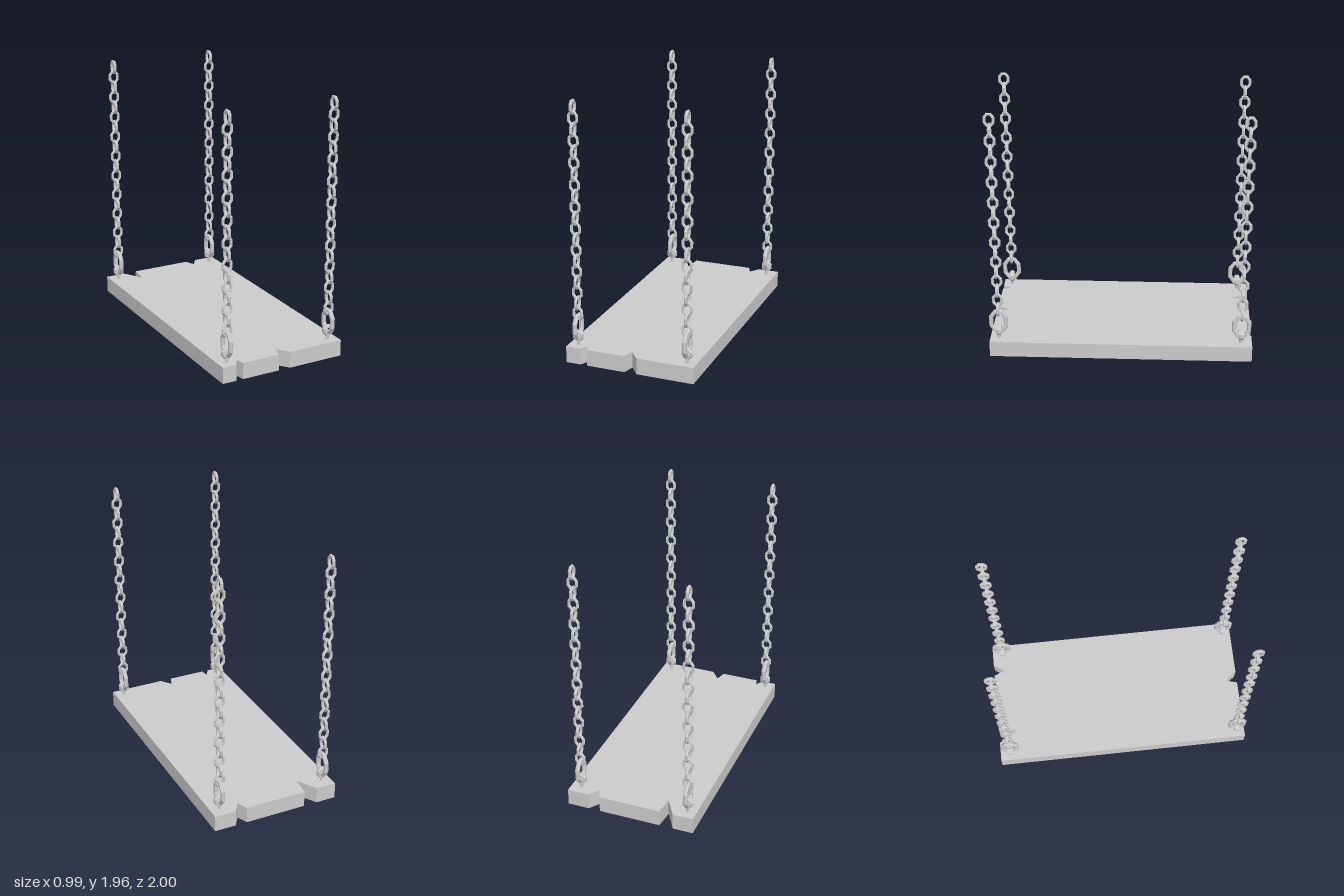
import * as THREE from 'three';

const material = new THREE.MeshStandardMaterial({ color: 0xcccccc, flatShading: true });

// Eight-sided oval ring in the xy plane, sized by its outer half width and half height
function ovalRing(halfWidth, halfHeight, tube) {
  const flat = Math.cos(Math.PI / 8);
  const geometry = new THREE.TorusGeometry(halfWidth / flat - tube, tube, 6, 8);
  geometry.rotateZ(Math.PI / 8);
  const stretch = (halfHeight - halfWidth) / flat;
  const p = geometry.attributes.position;
  for (let i = 0; i < p.count; i++) {
    const angle = Math.atan2(p.getY(i), p.getX(i));
    p.setY(i, p.getY(i) + stretch * Math.sin(angle));
  }
  geometry.computeVertexNormals();
  return geometry;
}

function addMesh(parent, name, geometry, y, turn = 0) {
  const mesh = new THREE.Mesh(geometry, material);
  mesh.name = name;
  mesh.position.y = y;
  mesh.rotation.y = turn;
  parent.add(mesh);
  return mesh;
}

// Plank with V-shaped splits in both ends; shape coordinates are (x, z)
function plankGeometry() {
  const outline = [
    [-0.495, -1], [-0.34, -1], [-0.25, -0.85], [-0.235, -1],
    [0.24, -1], [0.275, -0.92], [0.33, -1], [0.495, -1],
    [0.495, 0.99], [0.06, 0.99], [-0.01, 0.9], [-0.035, 0.99],
    [-0.33, 0.99], [-0.345, 0.925], [-0.385, 0.99], [-0.495, 0.99],
  ];
  const shape = new THREE.Shape(outline.map(([x, z]) => new THREE.Vector2(x, z)));
  const geometry = new THREE.ExtrudeGeometry(shape, { depth: 0.125, bevelEnabled: false });
  geometry.rotateX(Math.PI / 2);
  geometry.translate(0, 0.125, 0);
  return geometry;
}

export function createModel() {
  const model = new THREE.Group();
  model.name = 'hangingPlank';
  addMesh(model, 'plank', plankGeometry(), 0);

  const link = ovalRing(0.043, 0.054, 0.012);
  const shackle = ovalRing(0.0725, 0.1, 0.018);
  const eye = ovalRing(0.043, 0.043, 0.015);
  eye.scale(1, 1, 1.5);
  const shaft = new THREE.CylinderGeometry(0.013, 0.013, 0.06, 8);

  // One hanging chain at each corner
  for (const x of [-0.426, 0.422]) {
    for (const z of [-0.917, 0.923]) {
      const chain = new THREE.Group();
      chain.name = 'chain';
      chain.position.set(x, 0, z);
      addMesh(chain, 'boltShaft', shaft, 0.14);
      addMesh(chain, 'boltEye', eye, 0.196);
      addMesh(chain, 'shackle', shackle, 0.267, Math.PI / 2);
      // Links alternate by a quarter turn
      for (let i = 0; i < 20; i++) {
        addMesh(chain, 'link', link, 0.37 + i * 0.0807, i % 2 ? Math.PI / 2 : 0);
      }
      model.add(chain);
    }
  }
  return model;
}
